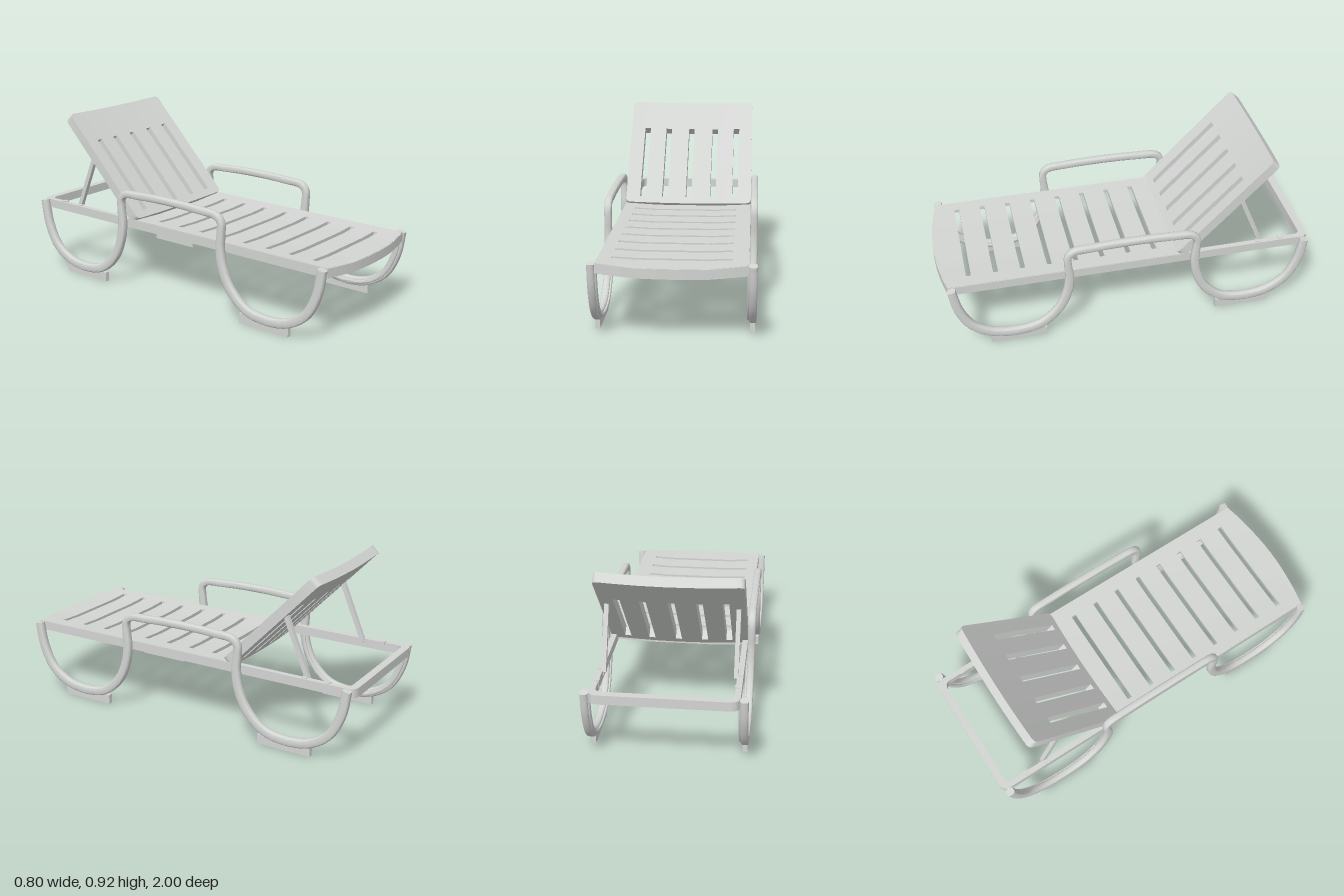
import * as THREE from 'three';
import { toCreasedNormals } from 'three/addons/utils/BufferGeometryUtils.js';

const plastic = new THREE.MeshStandardMaterial({ color: 0xd3d5d3 });
plastic.name = 'pale grey plastic';

function add(parent, name, geometry) {
  const mesh = new THREE.Mesh(geometry, plastic);
  mesh.name = name;
  parent.add(mesh);
  return mesh;
}

function box(parent, name, size, pos) {
  const mesh = add(parent, name, new THREE.BoxGeometry(...size));
  mesh.position.set(...pos);
  return mesh;
}

function roundedRect(path, x0, x1, y0, y1, r) {
  path.moveTo(x0 + r, y0).lineTo(x1 - r, y0).quadraticCurveTo(x1, y0, x1, y0 + r);
  path.lineTo(x1, y1 - r).quadraticCurveTo(x1, y1, x1 - r, y1);
  path.lineTo(x0 + r, y1).quadraticCurveTo(x0, y1, x0, y1 - r);
  path.lineTo(x0, y0 + r).quadraticCurveTo(x0, y0, x0 + r, y0);
  return path;
}

function triangles(pos, crease) {
  const g = new THREE.BufferGeometry();
  g.setAttribute('position', new THREE.Float32BufferAttribute(pos, 3));
  return toCreasedNormals(g, crease);
}

// Slab of grid cells with open cells for slots; the rule bends each corner
function slab(xs, ys, thickness, isOpen, rule) {
  const pos = [];
  const solid = (i, j) => i >= 0 && j >= 0 && i < xs.length - 1 && j < ys.length - 1
    && !isOpen((xs[i] + xs[i + 1]) / 2, (ys[j] + ys[j + 1]) / 2);
  const quad = (...corners) => {
    const p = corners.map(([i, j, k]) => rule(new THREE.Vector3(xs[i], ys[j], k ? 0 : -thickness)));
    for (const n of [0, 1, 2, 0, 2, 3]) pos.push(p[n].x, p[n].y, p[n].z);
  };
  for (let i = 0; i < xs.length - 1; i++) {
    for (let j = 0; j < ys.length - 1; j++) {
      if (!solid(i, j)) continue;
      const a = i + 1, b = j + 1;
      quad([i, j, 1], [a, j, 1], [a, b, 1], [i, b, 1]);
      quad([i, j, 0], [i, b, 0], [a, b, 0], [a, j, 0]);
      if (!solid(i - 1, j)) quad([i, j, 0], [i, j, 1], [i, b, 1], [i, b, 0]);
      if (!solid(a, j)) quad([a, j, 0], [a, b, 0], [a, b, 1], [a, j, 1]);
      if (!solid(i, j - 1)) quad([i, j, 0], [a, j, 0], [a, j, 1], [i, j, 1]);
      if (!solid(i, b)) quad([i, b, 0], [i, b, 1], [a, b, 1], [a, b, 0]);
    }
  }
  return triangles(pos, 0.5);
}

// The deck dips slightly in the middle and bows out at the front
const dip = (x) => 0.01 * THREE.MathUtils.clamp((0.36 - Math.abs(x)) / 0.19, 0, 1);
const bow = (x) => 1 - 0.045 * (x / 0.36) ** 2;

function frontEdge(inset) {
  const pts = [];
  for (let i = 0; i <= 12; i++) {
    const x = (0.36 - inset) * (i / 6 - 1);
    pts.push(new THREE.Vector2(x, inset - bow(x)));
  }
  return pts;
}

// Sweep a rounded section along a curve lying in the yz plane
function sweep(curve, x, halfWidth, halfDepth, steps) {
  const sides = 16, rings = [], pos = [];
  for (let i = 0; i <= steps; i++) {
    const p = curve.getPointAt(i / steps), t = curve.getTangentAt(i / steps);
    const depth = halfDepth * (1 - 0.2 * THREE.MathUtils.smoothstep(p.y, 0.3, 0.5));
    const ring = [];
    for (let j = 0; j < sides; j++) {
      const a = (j / sides) * Math.PI * 2, c = Math.cos(a), s = Math.sin(a);
      const u = halfWidth * Math.sign(c) * Math.sqrt(Math.abs(c));
      const w = depth * Math.sign(s) * Math.sqrt(Math.abs(s));
      ring.push([x + u, p.y + t.z * w, p.z - t.y * w]);
    }
    rings.push(ring);
  }
  for (let i = 0; i < steps; i++) {
    for (let j = 0; j < sides; j++) {
      const k = (j + 1) % sides, a = rings[i], b = rings[i + 1];
      pos.push(...a[j], ...a[k], ...b[j], ...a[k], ...b[k], ...b[j]);
    }
  }
  const first = rings[0], last = rings[steps];
  for (let j = 1; j < sides - 1; j++) {
    pos.push(...first[0], ...first[j + 1], ...first[j], ...last[0], ...last[j], ...last[j + 1]);
  }
  return triangles(pos, 0.9);
}

export function createModel() {
  const model = new THREE.Group();
  model.name = 'sunLounger';

  // Frame: bowed front apron, side rails and rounded rear loop
  const outline = new THREE.Shape(frontEdge(0));
  outline.lineTo(0.36, 0.95).quadraticCurveTo(0.36, 1, 0.31, 1);
  outline.lineTo(-0.31, 1).quadraticCurveTo(-0.36, 1, -0.36, 0.95);
  const opening = new THREE.Path(frontEdge(0.026));
  opening.lineTo(0.33, 0.925).quadraticCurveTo(0.33, 0.96, 0.295, 0.96);
  opening.lineTo(-0.295, 0.96).quadraticCurveTo(-0.33, 0.96, -0.33, 0.925);
  outline.holes.push(opening);
  const frame = new THREE.ExtrudeGeometry(outline, { depth: 0.048, bevelEnabled: false, curveSegments: 6 });
  frame.rotateX(-Math.PI / 2).translate(0, 0.345, 0);
  const fp = frame.attributes.position;
  for (let i = 0; i < fp.count; i++) {
    if (fp.getZ(i) > 0.9) fp.setY(i, fp.getY(i) - dip(fp.getX(i)));
  }
  add(model, 'frame', frame);

  // Slotted deck
  const slots = Array.from({ length: 8 }, (_, i) => -0.84 + i * 0.1423);
  const deckX = [-0.357, -0.295, -0.23, -0.17, -0.11, -0.055, 0, 0.055, 0.11, 0.17, 0.23, 0.28, 0.357];
  const deckY = [-0.997, ...slots.flatMap((y) => [y - 0.013, y + 0.013]), 0.273];
  const lay = (v) => {
    const z = v.y < -0.86 ? -v.y - 1 + bow(v.x) : -v.y;
    return v.set(v.x, 0.395 + v.z - dip(v.x), z);
  };
  add(model, 'deck', slab(deckX, deckY, 0.02,
    (x, y) => x > -0.295 && x < 0.28 && slots.some((s) => Math.abs(y - s) < 0.013), lay));

  // Cross rail under the rear edge of the deck
  add(model, 'crossRail', slab([-0.34, -0.17, 0.17, 0.34], [0.253, 0.272], 0.05, () => false, lay));

  // Reclined backrest: five long slots, rounded corners, slightly hollow across
  const slotX = [-0.264, -0.137, 0, 0.14, 0.268];
  const edgeX = [0.36, 0.3575, 0.353, 0.346, 0.335, 0.31];
  const backX = [...edgeX.map((x) => -x),
    ...slotX.flatMap((x) => [x - 0.0165, x + 0.0165]), ...[...edgeX].reverse()];
  const radius = 0.025, length = 0.712;
  const backrest = add(model, 'backrest', slab(backX, [0, 0.042, 0.28, 0.52, length], 0.052,
    (x, y) => y > 0.042 && y < 0.52 && slotX.some((s) => Math.abs(x - s) < 0.0165),
    (v) => {
      const d = Math.max(0, Math.abs(v.x) - 0.36 + radius);
      const trim = radius - Math.sqrt(Math.max(0, radius ** 2 - d ** 2));
      if (v.y === 0) v.y = trim;
      else if (v.y === length) v.y -= trim;
      v.z -= 0.013 * (1 - (v.x / 0.36) ** 2);
      return v;
    }));
  backrest.position.set(0, 0.405, -0.26);
  backrest.rotation.x = -THREE.MathUtils.degToRad(44);

  // Side path: front leg loop, armrest, then the same mirrored to the rear
  const half = [
    [0.94, 0.39], [0.912, 0.25], [0.85, 0.135], [0.745, 0.068], [0.61, 0.05],
    [0.485, 0.077], [0.388, 0.165], [0.34, 0.27], [0.325, 0.37], [0.331, 0.45],
    [0.329, 0.508], [0.3, 0.534], [0.2, 0.543],
  ];
  const mirrored = half.map(([z, y]) => [-0.028 - z, y]).reverse();
  const toCurve = (pts) => new THREE.CatmullRomCurve3(
    pts.map(([z, y]) => new THREE.Vector3(0, y, z)), false, 'centripetal');
  const sidePath = toCurve([...half, [-0.014, 0.549], ...mirrored]);
  const ribPaths = [toCurve(half.slice(0, 9)), toCurve(mirrored.slice(4))];

  for (const side of [1, -1]) {
    const group = new THREE.Group();
    group.name = side > 0 ? 'leftSide' : 'rightSide';
    model.add(group);

    // Continuous legs and armrest, with a slim rib on the inner face of each leg
    add(group, 'legsAndArmrest', sweep(sidePath, side * 0.38, 0.019, 0.024, 150));
    for (const path of ribPaths) {
      add(group, 'legRib', sweep(path, side * 0.36, 0.008, 0.011, 50));
    }

    // Feet
    for (const z of [0.607, -0.635]) {
      box(group, 'foot', [0.024, 0.052, 0.3], [side * 0.379, 0.026, z]);
    }

    // Prop strut and its rests on the rail
    const strut = box(group, 'backrestStrut', [0.022, 0.345, 0.024], [side * 0.325, 0.54, -0.667]);
    strut.rotation.x = Math.atan2(0.13, 0.31);
    for (const z of [-0.72, -0.845]) {
      box(group, 'strutRest', [0.026, 0.036, 0.028], [side * 0.339, 0.379, z]);
    }
  }
  return model;
}
